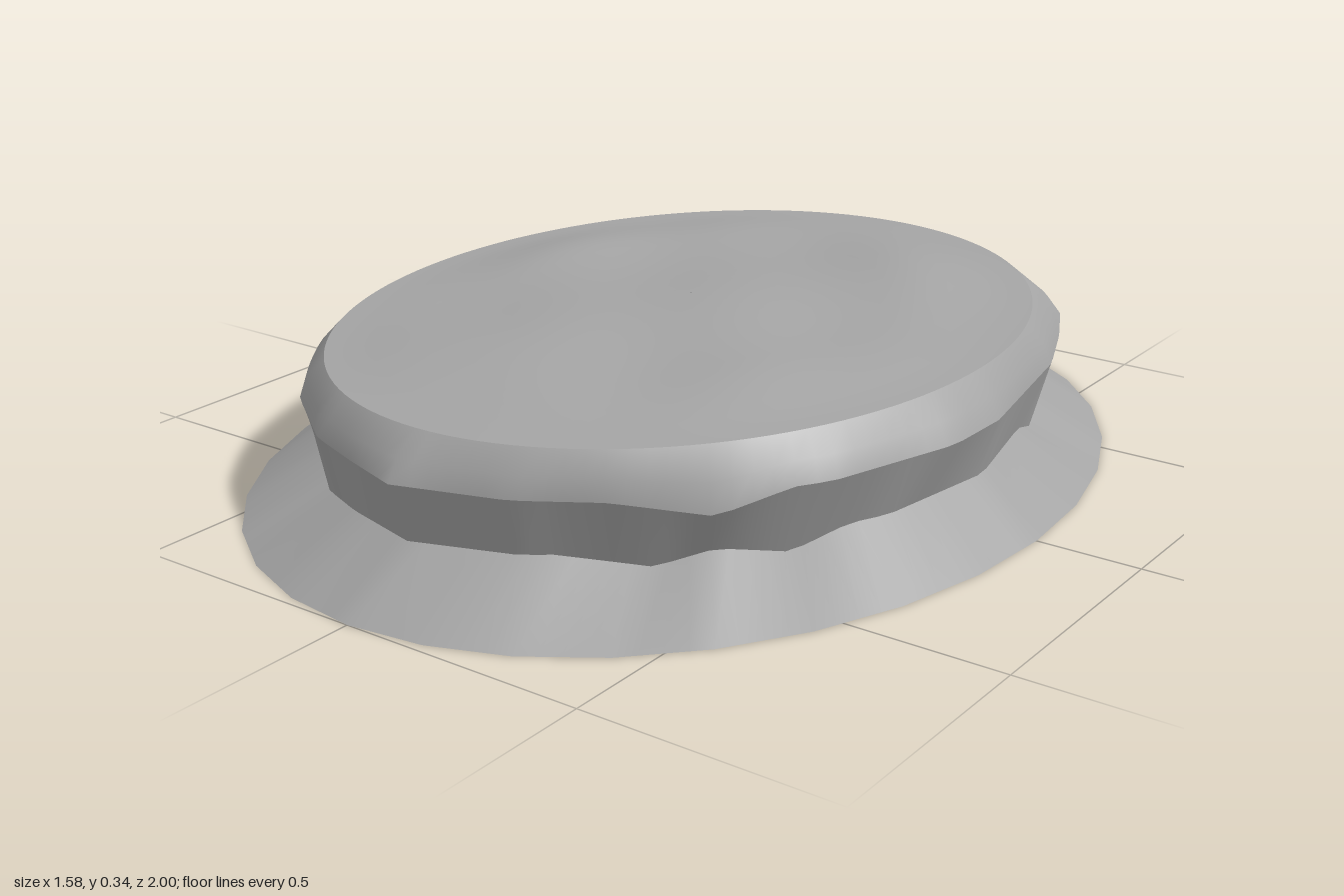
import * as THREE from 'three';
import { toCreasedNormals } from 'three/addons/utils/BufferGeometryUtils.js';

const SEG = 128;
const RX = 0.79, RZ = 1; // half axes of the foot ellipse

// Keys are [degrees, value], 0 = front, 90 = +x. Finds the two keys around an angle.
function span(keys, deg) {
  const pts = [...keys, [360, keys[0][1]]];
  const i = pts.findIndex(([a]) => a > deg);
  return [...pts[i - 1], ...pts[i]];
}

// Height between two keys
function heightAt(keys, deg) {
  const [a, va, b, vb] = span(keys, deg);
  return va + (vb - va) * (deg - a) / (b - a);
}

// Reach along the straight chord between two keys, so the outline has chiselled facets
function reachAt(keys, deg) {
  const [a, ra, b, rb] = span(keys, deg);
  const sin = (d) => Math.sin(THREE.MathUtils.degToRad(d));
  return ra * rb * sin(b - a) / (ra * sin(deg - a) + rb * sin(b - deg));
}

// Irregular rock outline: reach and height of the ledge, then of the groove below it
const ledgeReach = [[0, 0.885], [18, 0.855], [33, 0.845], [48, 0.865], [61, 0.88], [80, 0.894], [90, 0.886],
  [113, 0.873], [125, 0.88], [136, 0.907], [152, 0.885], [169, 0.872], [180, 0.85], [194, 0.855],
  [208, 0.86], [222, 0.865], [238, 0.876], [254, 0.865], [270, 0.875], [286, 0.857], [304, 0.875],
  [321, 0.865], [338, 0.862], [349, 0.86]];
const ledgeHeight = [[0, 0.22], [32, 0.215], [45, 0.185], [56, 0.22], [160, 0.22], [169, 0.205], [180, 0.22]];
const grooveReach = [[0, 0.845], [18, 0.815], [37, 0.785], [46, 0.8], [57, 0.8], [72, 0.825], [91, 0.84],
  [116, 0.825], [140, 0.83], [171, 0.82], [180, 0.83], [200, 0.82], [218, 0.835], [237, 0.85],
  [254, 0.845], [271, 0.845], [290, 0.84], [304, 0.845], [332, 0.825], [345, 0.83]];
const grooveHeight = [[0, 0.1], [22, 0.1], [37, 0.07], [46, 0.1], [57, 0.07], [66, 0.1], [109, 0.1],
  [116, 0.07], [123, 0.1], [318, 0.1], [332, 0.08], [345, 0.1]];
// The foot outline is a 32-sided polygon
const footReach = Array.from({ length: 32 }, (_, i) => [i * 11.25, 1]);

function ring(reach, height) {
  return Array.from({ length: SEG }, (_, i) => {
    const deg = i * 360 / SEG, a = THREE.MathUtils.degToRad(deg), r = reach(deg);
    return new THREE.Vector3(RX * r * Math.sin(a), height(deg), RZ * r * Math.cos(a));
  });
}

const footRing = ring((d) => reachAt(footReach, d), () => 0);
const grooveRing = ring((d) => reachAt(grooveReach, d), (d) => heightAt(grooveHeight, d));
const ledgeRing = ring((d) => reachAt(ledgeReach, d), (d) => heightAt(ledgeHeight, d));
const capRing = ring(() => 0.81, () => 0.3);
const shoulderRing = ledgeRing.map((p, i) =>
  p.clone().lerp(capRing[i], 0.5).multiply(new THREE.Vector3(1.015, 1, 1.015)));

// Surface through a stack of rings, listed from bottom to top
function loft(rings, crease) {
  const pos = [], index = [];
  rings.forEach((r) => r.forEach((p) => pos.push(p.x, p.y, p.z)));
  for (let k = 0; k < rings.length - 1; k++) {
    for (let i = 0; i < SEG; i++) {
      const a = k * SEG + i, b = k * SEG + (i + 1) % SEG;
      index.push(a, b, b + SEG, a, b + SEG, a + SEG);
    }
  }
  const g = new THREE.BufferGeometry();
  g.setAttribute('position', new THREE.Float32BufferAttribute(pos, 3));
  g.setIndex(index);
  return toCreasedNormals(g, crease);
}

// Gently uneven top, falling to a clean rim
function capHeight(x, z, t) {
  const rise = THREE.MathUtils.smoothstep(1 - t, 0, 0.4);
  const bumps = 0.005 * Math.sin(9 * x + 4 * z + 1) + 0.005 * Math.cos(8 * z - 3 * x - 0.6)
    + 0.003 * Math.sin(14 * x - 10 * z);
  return 0.3 + rise * (0.028 + bumps);
}

export function createModel() {
  const group = new THREE.Group();
  group.name = 'ovalRockBase';
  const material = new THREE.MeshStandardMaterial({ color: 0xa4a4a4, side: THREE.DoubleSide });
  const add = (name, rings, crease) => {
    const mesh = new THREE.Mesh(loft(rings, crease), material);
    mesh.name = name;
    group.add(mesh);
  };

  // Open-bottomed shell: sloping foot, rough groove wall, rounded shoulder
  add('footFlange', [footRing, grooveRing], 0.9);
  add('grooveWall', [grooveRing, ledgeRing], 0.3);
  add('shoulder', [ledgeRing, shoulderRing, capRing], 0.7);

  // Uneven top surface, stopping just short of the centre point
  const capRings = Array.from({ length: 17 }, (_, k) => {
    const t = Math.max(1 - k / 16, 0.002);
    return capRing.map((p) => new THREE.Vector3(p.x * t, capHeight(p.x * t, p.z * t, t), p.z * t));
  });
  add('topSurface', capRings, 1);
  return group;
}
